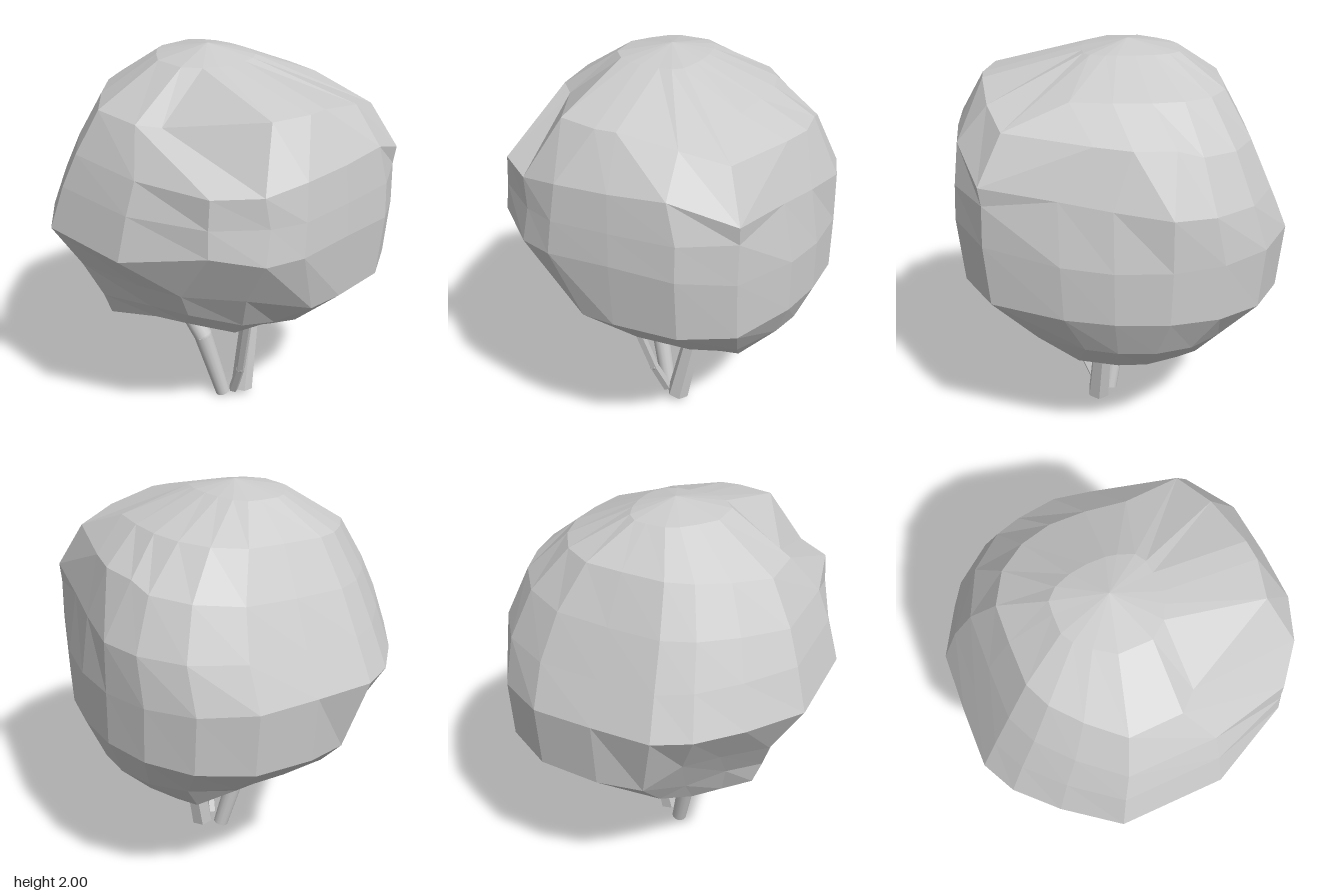
import * as THREE from 'three';

const material = (flat) => new THREE.MeshStandardMaterial({ color: 0xcccccc, flatShading: flat });

// Plan outline of the foliage at its widest, as [x, z], going from +x towards +z
const OUTLINE = [
  [0.81, 0.25], [0.74, 0.42], [0.56, 0.61], [0.18, 0.79], [-0.33, 0.79], [-0.57, 0.6],
  [-0.74, 0.42], [-0.82, 0.25], [-0.81, -0.05], [-0.79, -0.36], [-0.65, -0.6], [-0.44, -0.74],
  [-0.2, -0.8], [0.06, -0.79], [0.3, -0.74], [0.65, -0.6], [0.79, -0.36], [0.81, -0.05],
];

// Rings from bottom to top: extent and height on each of the four sides
const RINGS = [
  { left: [0.46, 0.57], right: [0.38, 0.6], front: [0.53, 0.64], back: [0.53, 0.5] },
  { left: [0.58, 0.65], right: [0.52, 0.68], front: [0.58, 0.78], back: [0.7, 0.68] },
  { left: [0.79, 0.83], right: [0.78, 0.93], front: [0.64, 0.95], back: [0.79, 0.89] },
  { left: [0.82, 1.16], right: [0.81, 1.26], front: [0.8, 1.19], back: [0.79, 1.15] },
  { left: [0.73, 1.36], right: [0.8, 1.42], front: [0.74, 1.4], back: [0.79, 1.4] },
  { left: [0.63, 1.58], right: [0.78, 1.6], front: [0.68, 1.55], back: [0.68, 1.65] },
  { left: [0.51, 1.8], right: [0.65, 1.83], front: [0.57, 1.75], back: [0.47, 1.83] },
  { left: [0.3, 1.95], right: [0.17, 1.95], front: [0.27, 1.95], back: [0.16, 1.96] },
];

// Hand-placed corners, keyed "ring,column"
const CORNERS = {
  // raised lower rim
  '0,0': [0.42, 0.67, 0.1], '0,1': [0.39, 0.68, 0.26], '0,2': [0.27, 0.78, 0.48], '0,3': [0.13, 0.78, 0.54],
  '0,4': [-0.24, 0.64, 0.53], '0,10': [-0.37, 0.5, -0.42], '0,11': [-0.27, 0.5, -0.47], '0,14': [0.22, 0.5, -0.47],
  '1,0': [0.52, 0.74, 0.12], '1,1': [0.49, 0.79, 0.31], '1,2': [0.35, 0.88, 0.53], '1,3': [0.15, 0.87, 0.59],
  // lower front corners
  '2,0': [0.75, 0.92, 0.12], '2,1': [0.59, 1, 0.39], '2,2': [0.38, 1.02, 0.6], '2,3': [0.17, 1.02, 0.67],
  '2,5': [-0.51, 0.95, 0.46], '2,6': [-0.65, 0.95, 0.33], '2,7': [-0.74, 0.82, 0.17],
  '1,5': [-0.38, 0.77, 0.44], '1,6': [-0.52, 0.73, 0.29],
  '3,2': [0.57, 1.29, 0.61], '4,2': [0.56, 1.42, 0.6],
  // shoulder ledge
  '5,1': [0.71, 1.56, 0.41], '5,2': [0.56, 1.56, 0.59],
  '6,0': [0.65, 1.83, 0.07], '6,1': [0.6, 1.83, 0.26], '6,2': [0.14, 1.74, 0.48], '6,3': [0.05, 1.75, 0.56],
  // upper back edge and corner
  '4,12': [-0.2, 1.4, -0.79], '4,13': [0.06, 1.43, -0.74], '4,14': [0.3, 1.46, -0.68],
  '5,12': [-0.22, 1.67, -0.65], '5,13': [-0.03, 1.68, -0.67], '5,14': [0.14, 1.69, -0.63],
  '5,15': [0.65, 1.5, -0.6], '6,15': [0.54, 1.72, -0.51], '6,16': [0.61, 1.78, -0.3],
};

function foliageGeometry() {
  const n = OUTLINE.length;
  const positions = [];
  RINGS.forEach((ring, i) => OUTLINE.forEach(([ox, oz], j) => {
    const [ex, yx] = ox > 0 ? ring.right : ring.left;
    const [ez, yz] = oz > 0 ? ring.front : ring.back;
    const c2 = (ox * ox) / (ox * ox + oz * oz);
    const point = [ox * ex / 0.815, yx * c2 + yz * (1 - c2), oz * ez / 0.795];
    positions.push(...(CORNERS[`${i},${j}`] || point));
  }));
  const bottom = RINGS.length * n;
  const top = bottom + 1;
  positions.push(0, 0.57, 0, -0.05, 2, 0.02);

  const index = [];
  const last = (RINGS.length - 1) * n;
  for (let j = 0; j < n; j++) {
    const k = (j + 1) % n;
    index.push(j, k, bottom, last + j, top, last + k);
    for (let r = 0; r < last; r += n) {
      const a = r + j, b = r + k, c = a + n, d = b + n;
      index.push(a, c, d, a, d, b);
    }
  }
  const geometry = new THREE.BufferGeometry();
  geometry.setAttribute('position', new THREE.Float32BufferAttribute(positions, 3));
  geometry.setIndex(index);
  geometry.computeVertexNormals();
  return geometry;
}

// A stem made of straight pieces along a list of points, one radius per point
function stem(name, points, radii, sides, flat) {
  const group = new THREE.Group();
  group.name = name;
  const up = new THREE.Vector3(0, 1, 0);
  for (let i = 0; i < points.length - 1; i++) {
    const a = new THREE.Vector3(...points[i]);
    const b = new THREE.Vector3(...points[i + 1]);
    const dir = b.clone().sub(a);
    const geometry = new THREE.CylinderGeometry(radii[i + 1], radii[i], dir.length(), sides);
    const mesh = new THREE.Mesh(geometry, material(flat));
    mesh.name = `${name}Piece`;
    mesh.position.copy(a).add(b).multiplyScalar(0.5);
    mesh.quaternion.setFromUnitVectors(up, dir.normalize());
    group.add(mesh);
    // rounded bend between two pieces
    if (i > 0) {
      const bend = new THREE.Mesh(new THREE.SphereGeometry(radii[i], sides, 8), material(flat));
      bend.name = `${name}Bend`;
      bend.position.copy(a);
      group.add(bend);
    }
  }
  return group;
}

export function createModel() {
  const model = new THREE.Group();
  model.name = 'bush';

  const foliage = new THREE.Mesh(foliageGeometry(), material(true));
  foliage.name = 'foliage';
  model.add(foliage);

  model.add(
    stem('frontStem', [[0.045, 0.01, 0], [-0.02, 0.4, 0.09], [-0.13, 0.6, 0.14]], [0.04, 0.05, 0.05], 14, false),
    stem('sideStem', [[0.11, 0.05, -0.02], [0.2, 0.25, 0.02], [0.33, 0.69, 0.1]], [0.027, 0.025, 0.025], 5, true),
    stem('backStem', [[0.11, 0.03, -0.085], [0.075, 0.58, -0.195]], [0.06, 0.045], 6, true),
    stem('backBranch', [[0.085, 0.36, -0.17], [0.0, 0.56, -0.32]], [0.03, 0.025], 5, true),
  );
  return model;
}
